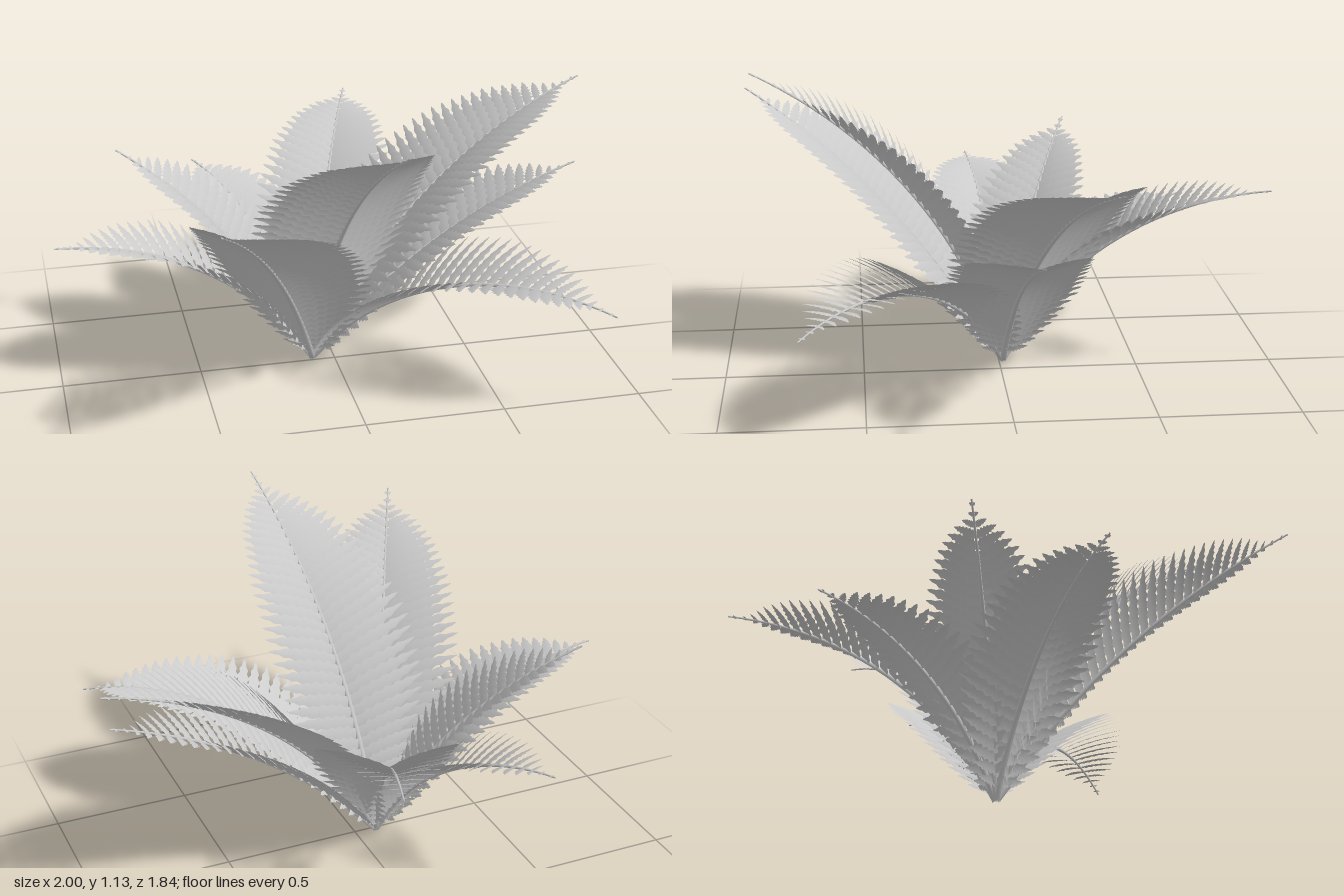
import * as THREE from 'three';

const BASE = new THREE.Vector3(-0.08, 0, -0.015);
const RAD = Math.PI / 180;

// tip x, y, z and half of the angle through which the frond arches over
const FRONDS = [
  [0.24, 0.72, -0.92, 29],
  [-0.41, 0.54, -0.73, 31],
  [-0.74, 0.77, -0.31, 19],
  [-1.0, 0.57, 0.06, 29],
  [-0.55, 0.95, 0.92, 15],
  [0.05, 1.13, 0.87, 24],
  [0.81, 0.43, 0.71, 36],
  [0.92, 0.68, -0.06, 17],
  [1.0, 0.93, -0.29, 23],
];

// leaflet length along the frond: [position, share of the longest]
const OUTLINE = [[0, 0.15], [0.06, 0.32], [0.15, 0.6], [0.3, 0.95], [0.45, 1], [0.6, 0.9],
  [0.75, 0.66], [0.85, 0.4], [0.92, 0.14], [0.95, 0.06], [1, 0.04]];

function outline(t) {
  const i = Math.max(1, OUTLINE.findIndex((p) => p[0] >= t));
  const [a, b] = [OUTLINE[i - 1], OUTLINE[i]];
  return THREE.MathUtils.lerp(a[1], b[1], (t - a[0]) / (b[0] - a[0]));
}

// circular arc from the crown to the tip, with a local frame at any point
function makeArc(x, y, z, half) {
  const dx = x - BASE.x, dz = z - BASE.z;
  const reach = Math.hypot(dx, dz);
  const out = new THREE.Vector3(dx / reach, 0, dz / reach);
  const side = new THREE.Vector3(out.z, 0, -out.x);
  const rise = Math.atan2(y, reach), d = half * RAD;
  const R = Math.hypot(reach, y) / (2 * Math.sin(d));
  const start = rise + d;
  return {
    length: 2 * R * d,
    at(t) {
      const a = start - 2 * d * t;
      const tangent = out.clone().multiplyScalar(Math.cos(a)).setY(Math.sin(a));
      const point = BASE.clone().addScaledVector(out, R * (Math.sin(start) - Math.sin(a)));
      point.y += R * (Math.cos(a) - Math.cos(start));
      return { point, tangent, side, up: new THREE.Vector3().crossVectors(tangent, side) };
    },
  };
}

function toGeometry(pos, idx) {
  const g = new THREE.BufferGeometry();
  g.setAttribute('position', new THREE.Float32BufferAttribute(pos, 3));
  g.setIndex(idx);
  g.computeVertexNormals();
  return g;
}

// tapering stem with six sides
function stemGeometry(arc) {
  const pos = [], idx = [], rings = 24, n = 6;
  for (let i = 0; i <= rings; i++) {
    const f = arc.at(i / rings);
    const r = THREE.MathUtils.lerp(0.013, 0.003, i / rings);
    for (let k = 0; k < n; k++) {
      const a = (k / n) * Math.PI * 2;
      const p = f.point.clone().addScaledVector(f.side, r * Math.cos(a)).addScaledVector(f.up, r * Math.sin(a));
      pos.push(p.x, Math.max(0, p.y), p.z);
      if (i < rings) {
        const A = i * n + k, B = i * n + ((k + 1) % n);
        idx.push(A, B, A + n, B, B + n, A + n);
      }
    }
  }
  return toGeometry(pos, idx);
}

// one serrated leaflet: a midrib with toothed edges to both sides
function addLeaflet(pos, idx, f, s, length, width, t) {
  const sweep = (8 + 20 * t) * RAD, raise = (6 + 14 * Math.sin(Math.PI * t)) * RAD;
  const across = f.side.clone().multiplyScalar(s * Math.cos(raise)).addScaledVector(f.up, Math.sin(raise));
  const dir = across.clone().multiplyScalar(Math.cos(sweep)).addScaledVector(f.tangent, Math.sin(sweep));
  const along = f.tangent.clone().multiplyScalar(Math.cos(sweep)).addScaledVector(across, -Math.sin(sweep));
  const normal = new THREE.Vector3().crossVectors(along, dir).multiplyScalar(s);
  along.addScaledVector(normal, 0.3).normalize();
  const steps = 14, first = pos.length / 3;
  for (let i = 0; i <= steps; i++) {
    const u = i / steps;
    const body = Math.min(1, 0.55 + 2.5 * u) * (1 - u ** 3);
    const w = 0.5 * width * body * (i % 2 ? 1.25 : 0.85);
    const mid = f.point.clone().addScaledVector(dir, length * u)
      .addScaledVector(normal, length * 0.12 * (u - u * u * 1.4));
    for (const k of [-1, 0, 1]) {
      const p = mid.clone().addScaledVector(along, k * w);
      if (k) p.addScaledVector(normal, -0.12 * w);
      pos.push(p.x, p.y, p.z);
    }
    if (i === steps) continue;
    for (let k = 0; k < 2; k++) {
      const a = first + i * 3 + k, b = a + 1, c = a + 3, d = a + 4;
      if (s > 0) idx.push(a, b, c, b, d, c);
      else idx.push(a, c, b, b, c, d);
    }
  }
}

function leafletGeometry(arc) {
  const pos = [], idx = [];
  const count = Math.round(arc.length / 0.042);
  const spacing = arc.length / count;
  for (let i = 0; i < count; i++) {
    const t = 0.06 + 0.92 * (i / (count - 1));
    const size = outline(t);
    const width = spacing * Math.min(1.3, 0.2 + 1.6 * size);
    for (const s of [-1, 1]) addLeaflet(pos, idx, arc.at(t), s, 0.222 * arc.length * size, width, t);
  }
  return toGeometry(pos, idx);
}

export function createModel() {
  const model = new THREE.Group();
  model.name = 'fern';
  const stemMaterial = new THREE.MeshStandardMaterial({ color: 0xcccccc });
  const leafMaterial = new THREE.MeshStandardMaterial({ color: 0xcccccc, side: THREE.DoubleSide });
  FRONDS.forEach(([x, y, z, half], i) => {
    const arc = makeArc(x, y, z, half);
    const frond = new THREE.Group();
    frond.name = `frond${i + 1}`;
    const stem = new THREE.Mesh(stemGeometry(arc), stemMaterial);
    stem.name = 'stem';
    const leaflets = new THREE.Mesh(leafletGeometry(arc), leafMaterial);
    leaflets.name = 'leaflets';
    frond.add(stem, leaflets);
    model.add(frond);
  });
  return model;
}
